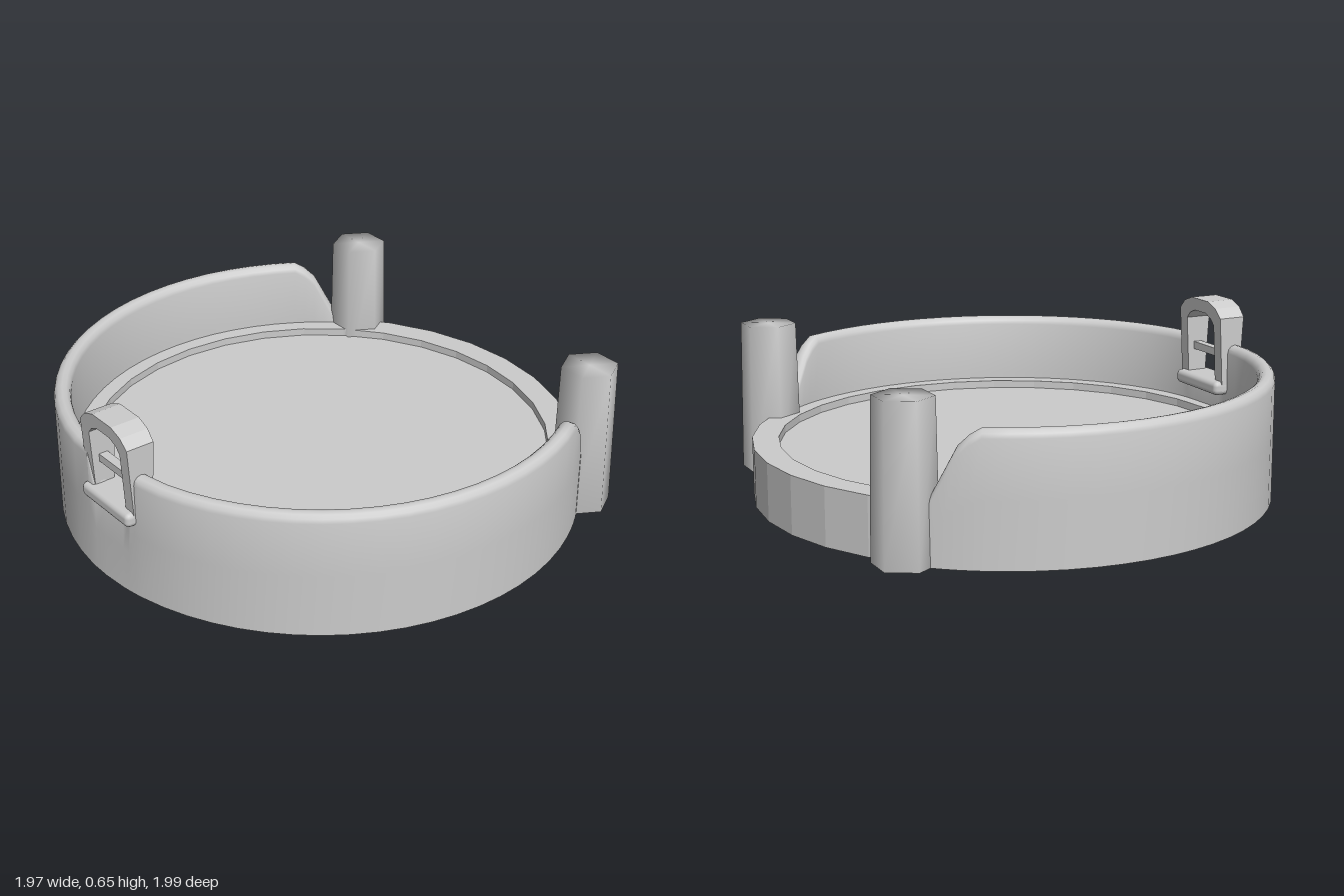
import * as THREE from 'three';
import { mergeVertices, toCreasedNormals } from 'three/addons/utils/BufferGeometryUtils.js';
import { RoundedBoxGeometry } from 'three/addons/geometries/RoundedBoxGeometry.js';

const smooth = new THREE.MeshStandardMaterial({ color: 0xcccccc });
const faceted = new THREE.MeshStandardMaterial({ color: 0xcccccc, flatShading: true });
const CX = 0.015; // shared axis of the round parts

function addMesh(parent, name, geometry, material, x = 0, y = 0, z = 0) {
  const mesh = new THREE.Mesh(geometry, material);
  mesh.name = name;
  mesh.position.set(x, y, z);
  parent.add(mesh);
  return mesh;
}

// Rim height around the wall: [degrees, height], sloped ends and a notch at the buckle
const RIM = [[47, 0.19], [50, 0.26], [53, 0.34], [56, 0.42], [58.5, 0.46], [61, 0.485],
  [169, 0.485], [171, 0.32], [182.5, 0.32], [184.5, 0.485],
  [302, 0.485], [304.5, 0.46], [307, 0.42], [309.5, 0.34], [312, 0.26], [314, 0.19]];

function rimHeight(deg) {
  for (let i = 1; i < RIM.length; i++) {
    const [a0, h0] = RIM[i - 1], [a1, h1] = RIM[i];
    if (deg <= a1) return h0 + (h1 - h0) * (deg - a0) / (a1 - a0);
  }
  return RIM[RIM.length - 1][1];
}

// Wall cross-section swept round the axis, with a rounded top edge
function wallGeometry() {
  const angles = RIM.map(k => k[0]);
  for (let d = 66; d < 300; d += 5.625) {
    if (angles.every(a => Math.abs(a - d) > 1)) angles.push(d);
  }
  angles.sort((a, b) => a - b);

  const half = 0.032, mid = 0.962, arc = 6;
  const pos = [], idx = [];
  let n = 0;
  for (const deg of angles) {
    const h = rimHeight(deg), a = THREE.MathUtils.degToRad(deg);
    const section = [[mid + half, 0], [mid + half, h * 0.5]];
    for (let k = 0; k <= arc; k++) {
      const t = Math.PI * k / arc;
      section.push([mid + half * Math.cos(t), h - half + half * Math.sin(t)]);
    }
    section.push([mid - half, h * 0.5], [mid - half, 0]);
    n = section.length;
    // the wall is drawn in slightly behind the buckle
    const dent = 0.02 * Math.exp(-(((deg - 177) / 9) ** 2));
    for (const [r, y] of section) {
      const rr = r - dent * Math.min(1, y / 0.25);
      pos.push(CX + rr * Math.cos(a), y, rr * Math.sin(a));
    }
  }
  const rows = angles.length;
  for (let i = 0; i < rows - 1; i++) {
    for (let j = 0; j < n; j++) {
      const p = i * n + j, q = i * n + (j + 1) % n;
      idx.push(p, q, p + n, q, q + n, p + n);
    }
  }
  // end caps
  const last = (rows - 1) * n;
  for (let j = 1; j < n - 1; j++) {
    idx.push(0, j + 1, j, last, last + j, last + j + 1);
  }
  const g = new THREE.BufferGeometry();
  g.setAttribute('position', new THREE.Float32BufferAttribute(pos, 3));
  g.setIndex(idx);
  return toCreasedNormals(g, 0.9);
}

// Tapered six-sided post with soft shading
function postGeometry() {
  const g = new THREE.CylinderGeometry(0.108, 0.118, 0.58, 6);
  g.deleteAttribute('normal');
  g.deleteAttribute('uv');
  const merged = mergeVertices(g);
  merged.computeVertexNormals();
  return merged;
}

// Arched frame, drawn in (z, y) and extruded along x
function buckleFrameGeometry() {
  const outline = (w, bottom, top, cut) => [[-w, bottom], [w, bottom], [w, top - cut],
    [w * 0.76, top - cut * 0.36], [w * 0.4, top], [-w * 0.4, top],
    [-w * 0.76, top - cut * 0.36], [-w, top - cut]].map(p => new THREE.Vector2(...p));
  const shape = new THREE.Shape(outline(0.147, 0.3, 0.65, 0.055));
  shape.holes.push(new THREE.Path(outline(0.097, 0.33, 0.6, 0.04)));
  const g = new THREE.ExtrudeGeometry(shape, { depth: 0.1, bevelEnabled: false });
  g.rotateY(-Math.PI / 2);
  g.translate(0.05, 0, 0);
  // the frame gets thinner towards its foot
  const p = g.attributes.position;
  for (let i = 0; i < p.count; i++) {
    p.setX(i, p.getX(i) * (0.75 + 0.4 * (p.getY(i) - 0.3) / 0.35));
  }
  return g;
}

export function createModel() {
  const model = new THREE.Group();
  model.name = 'roundBed';

  // low base ring, open underneath
  const ring = [[0.87, 0], [0.97, 0], [0.97, 0.22], [0.87, 0.22], [0.87, 0]]
    .map(p => new THREE.Vector2(...p));
  addMesh(model, 'baseRing', new THREE.LatheGeometry(ring, 32), faceted, CX);

  // sunken floor
  addMesh(model, 'floor', new THREE.CylinderGeometry(0.872, 0.872, 0.012, 32), faceted, CX, 0.184);

  // high wall
  addMesh(model, 'wall', wallGeometry(), smooth);

  // posts either side of the opening
  const post = postGeometry();
  addMesh(model, 'frontPost', post, smooth, 0.715, 0.29, 0.71);
  addMesh(model, 'backPost', post, smooth, 0.735, 0.29, -0.65);

  // buckle on the wall opposite the opening
  const buckle = new THREE.Group();
  buckle.name = 'buckle';
  buckle.position.set(-0.917, 0, 0.05);
  addMesh(buckle, 'buckleFrame', buckleFrameGeometry(), faceted);
  addMesh(buckle, 'buckleFoot', new RoundedBoxGeometry(0.14, 0.055, 0.296, 2, 0.02), smooth, 0, 0.313);
  addMesh(buckle, 'buckleCrossbar', new THREE.BoxGeometry(0.035, 0.03, 0.2), faceted, 0, 0.443);
  model.add(buckle);

  return model;
}
